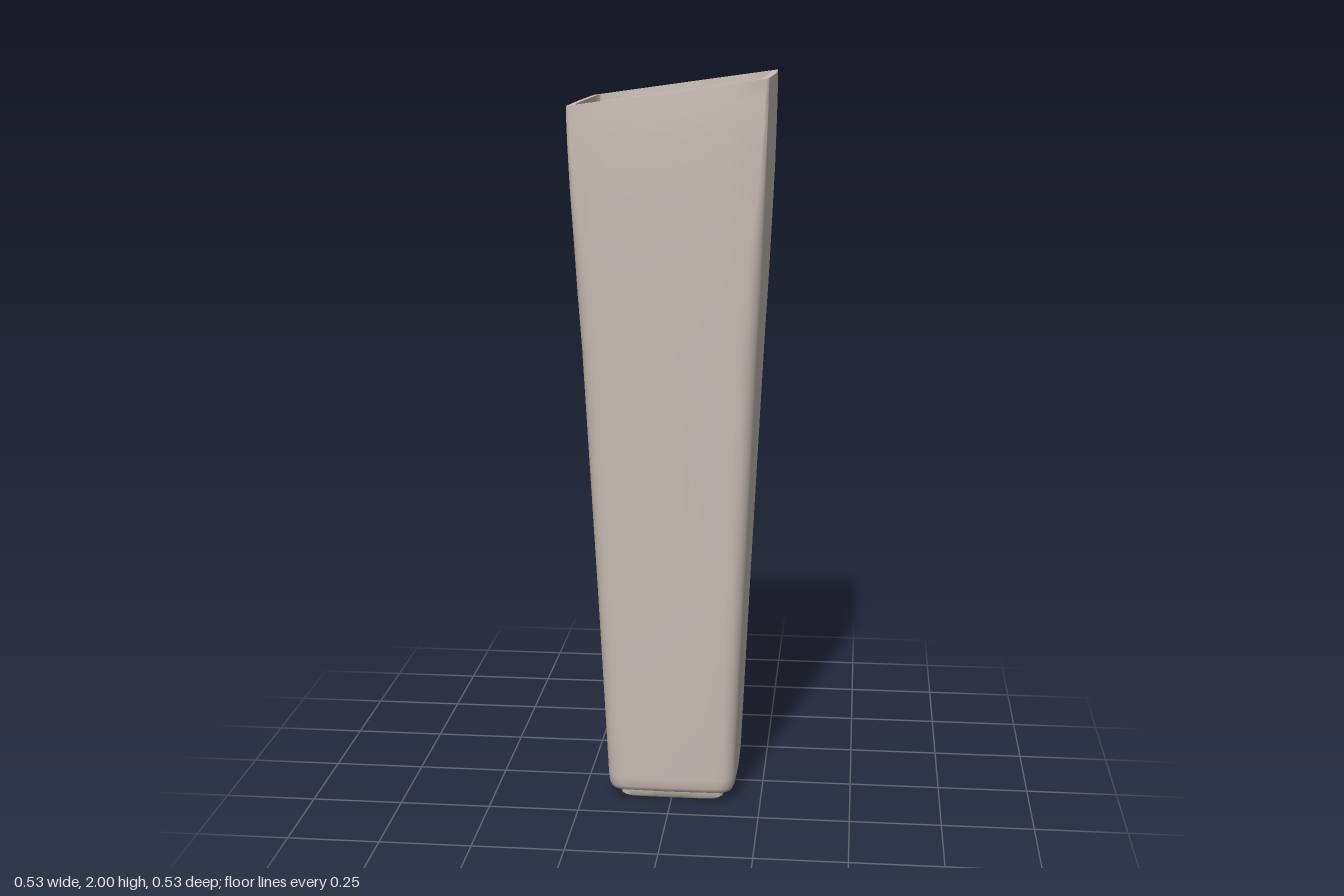
import * as THREE from 'three';
import { toCreasedNormals } from 'three/addons/utils/BufferGeometryUtils.js';

const ceramic = new THREE.MeshStandardMaterial({ color: 0xcbbfb8 });
ceramic.name = 'warm grey ceramic';

const ARC = 6, SIDE = 5;

// Rounded square with gently bowed sides; half is the half width at mid-side
function section(half, radius, bow) {
  const pts = [], c = half - bow - radius;
  for (let k = 0; k < 4; k++) {
    const base = k * Math.PI / 2, mid = base + Math.PI / 4;
    const cx = Math.sign(Math.cos(mid)) * c, cz = Math.sign(Math.sin(mid)) * c;
    for (let i = 0; i <= ARC; i++) {
      const a = base + (i / ARC) * Math.PI / 2;
      pts.push([cx + radius * Math.cos(a), cz + radius * Math.sin(a)]);
    }
    // bowed side leading to the next corner
    const a = base + Math.PI / 2, nx = Math.cos(a), nz = Math.sin(a);
    for (let i = 1; i <= SIDE; i++) {
      const t = i / (SIDE + 1), along = c * (1 - 2 * t);
      const out = c + radius + bow * Math.sin(Math.PI * t);
      pts.push([nx * out + nz * along, nz * out - nx * along]);
    }
  }
  return pts;
}

// Skin a stack of sections, rows: [half, y, radius, bow]
function loft(name, rows) {
  const pos = [], index = [];
  let n = 0;
  for (const [half, y, radius, bow] of rows) {
    const ring = section(half, radius, bow);
    n = ring.length;
    // the mouth slopes down towards -x
    for (const [x, z] of ring) pos.push(x, y - 0.14 * Math.max(0, 0.26 - x) * (y / 2) ** 6, z);
  }
  for (let r = 0; r < rows.length - 1; r++) {
    for (let j = 0; j < n; j++) {
      const a = r * n + j, b = r * n + (j + 1) % n;
      index.push(a, a + n, b, b, a + n, b + n);
    }
  }
  const g = new THREE.BufferGeometry();
  g.setAttribute('position', new THREE.Float32BufferAttribute(pos, 3));
  g.setIndex(index);
  const mesh = new THREE.Mesh(toCreasedNormals(g, 0.8), ceramic);
  mesh.name = name;
  return mesh;
}

export function createModel() {
  const group = new THREE.Group();
  group.name = 'squareVase';

  // Foot ring with a recessed underside
  group.add(loft('foot', [
    [0, 0.02, 0, 0], [0.115, 0.02, 0.02, 0.003], [0.122, 0.002, 0.022, 0.003],
    [0.127, 0, 0.024, 0.003], [0.141, 0, 0.028, 0.003], [0.147, 0.006, 0.03, 0.003],
    [0.148, 0.026, 0.03, 0.003],
  ]));

  // Tapered outer wall: soft corners below, sharpening towards the mouth
  group.add(loft('outerWall', [
    [0.146, 0.026, 0.03, 0.003], [0.162, 0.027, 0.036, 0.003], [0.173, 0.032, 0.042, 0.003],
    [0.179, 0.045, 0.045, 0.003], [0.181, 0.07, 0.045, 0.003], [0.205, 0.6, 0.048, 0.004],
    [0.229, 1.1, 0.05, 0.005], [0.239, 1.3, 0.05, 0.006], [0.247, 1.45, 0.044, 0.006],
    [0.254, 1.6, 0.034, 0.007], [0.26, 1.75, 0.022, 0.007], [0.263, 1.88, 0.012, 0.007],
    [0.263, 1.95, 0.008, 0.006], [0.262, 2, 0.005, 0.005],
  ]));

  // Thin flat lip
  group.add(loft('rim', [[0.262, 2, 0.005, 0.005], [0.243, 2, 0.004, 0.005]]));

  // Hollow inside and floor
  group.add(loft('interior', [
    [0.243, 2, 0.004, 0.005], [0.24, 1.75, 0.01, 0.005], [0.232, 1.5, 0.02, 0.005],
    [0.21, 1.1, 0.028, 0.005], [0.186, 0.6, 0.028, 0.005], [0.162, 0.09, 0.025, 0.006],
    [0.157, 0.07, 0.022, 0.006], [0.145, 0.062, 0.02, 0.005], [0, 0.062, 0, 0],
  ]));

  return group;
}
